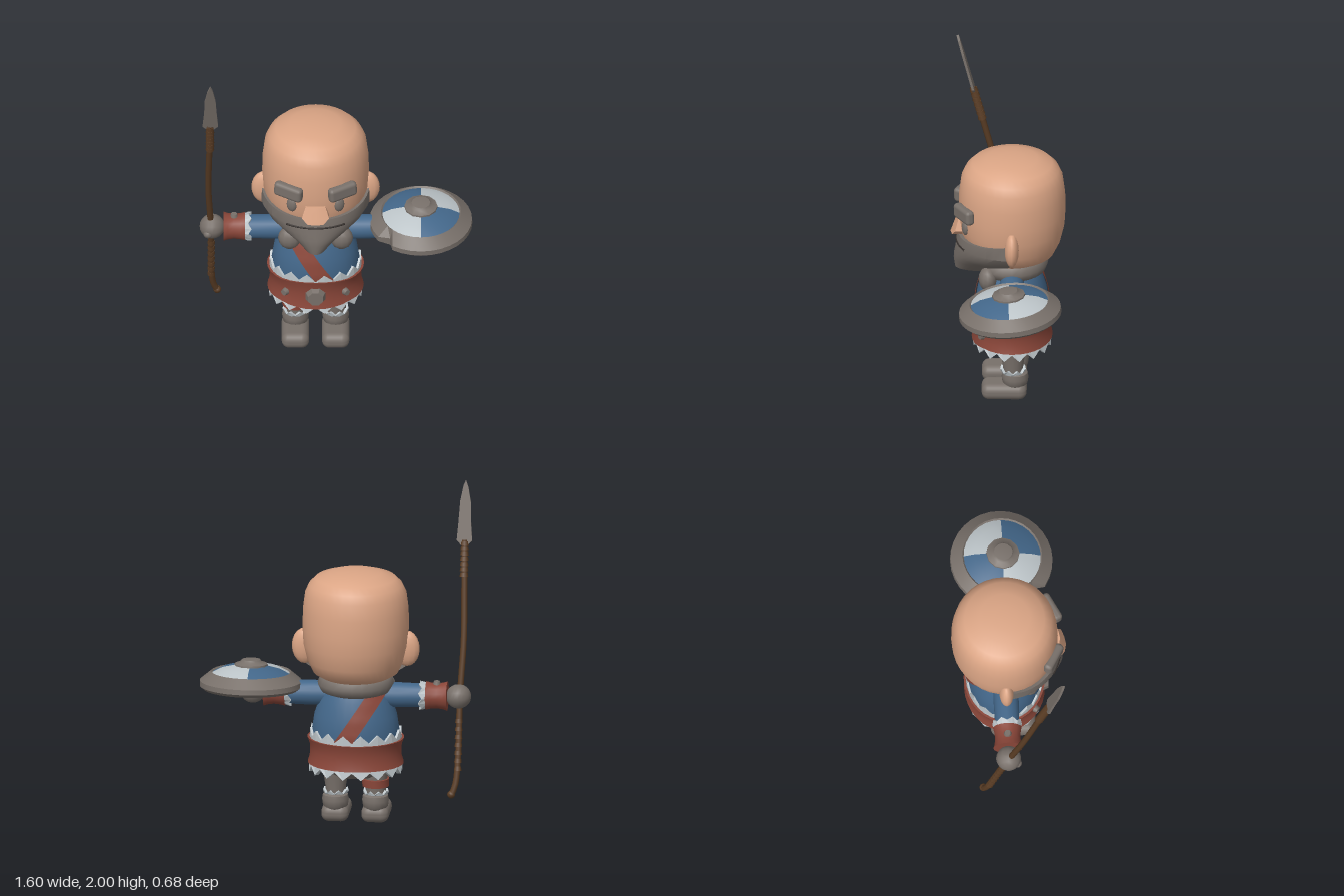
import * as THREE from 'three';
import { toCreasedNormals } from 'three/addons/utils/BufferGeometryUtils.js';
import { RoundedBoxGeometry } from 'three/addons/geometries/RoundedBoxGeometry.js';

const mat = (name, color, side = THREE.FrontSide) => {
  const m = new THREE.MeshStandardMaterial({ color, side });
  m.name = name;
  return m;
};
const DS = THREE.DoubleSide;
const V = (x, y, z) => new THREE.Vector3(x, y, z);

// Smooth surface of revolution from [radius, y] pairs, listed bottom to top
function lathe(points, segs = 24, start = 0, sweep = Math.PI * 2) {
  const g = new THREE.LatheGeometry(points.map(p => new THREE.Vector2(...p)), segs, start, sweep);
  return toCreasedNormals(g, 0.7);
}

// Surface through rows of [x, y, z] points
function grid(rows, crease = 0.7) {
  const n = rows[0].length, index = [];
  for (let i = 0; i < rows.length - 1; i++) for (let j = 0; j < n - 1; j++) {
    const a = i * n + j;
    index.push(a, a + 1, a + n + 1, a, a + n + 1, a + n);
  }
  const g = new THREE.BufferGeometry();
  g.setAttribute('position', new THREE.Float32BufferAttribute(rows.flat(2), 3));
  g.setIndex(index);
  return toCreasedNormals(g, crease);
}

// Fur trim: a ring whose far edge zigzags between y1 and y2
function zigzag(r0, y0, r1, y1, y2, teeth) {
  const rows = [[], [], []];
  for (let k = 0; k <= teeth * 2; k++) {
    const a = k * Math.PI / teeth, y = k % 2 ? y2 : y1;
    [[r0, y0], [r1, y], [r1 - 0.025, y]].forEach(([r, h], i) => rows[i].push([r * Math.sin(a), h, r * Math.cos(a)]));
  }
  return grid(rows, 0.1);
}

function edit(g, rule) {
  const p = g.attributes.position, v = V(0, 0, 0);
  for (let i = 0; i < p.count; i++) {
    rule(v.fromBufferAttribute(p, i));
    p.setXYZ(i, v.x, v.y, v.z);
  }
  g.computeVertexNormals();
  return g;
}

export function createModel() {
  const skin = mat('skin', 0xdba585), grey = mat('grey', 0x78706a, DS), blue = mat('blue', 0x43678a),
    white = mat('pale fur', 0xbcc4c8, DS), red = mat('red leather', 0x8a4639, DS),
    brown = mat('wood', 0x593c24), dark = mat('mouth', 0x38322f);
  const model = new THREE.Group();
  const group = (name, parent, x = 0, y = 0, z = 0) => {
    const g = new THREE.Group();
    g.name = name;
    g.position.set(x, y, z);
    parent.add(g);
    return g;
  };
  const add = (parent, name, geo, material, x = 0, y = 0, z = 0) => {
    const m = new THREE.Mesh(geo, material);
    m.name = name;
    m.position.set(x, y, z);
    parent.add(m);
    return m;
  };
  const CX = -0.125, CZ = -0.022;

  // Torso, oval in plan
  const body = group('body', model, CX, 0, CZ);
  body.scale.z = 0.84;
  const torso = [[0.24, 0.36], [0.252, 0.45], [0.257, 0.56], [0.243, 0.65], [0.21, 0.75], [0.175, 0.82], [0.13, 0.87], [0, 0.89]];
  add(body, 'tunic', lathe(torso, 32), blue);
  add(body, 'hips', lathe([[0, 0.265], [0.12, 0.275], [0.2, 0.32], [0.24, 0.38]]), grey);
  add(body, 'upperTrim', zigzag(0.272, 0.495, 0.27, 0.525, 0.57, 16), white);
  add(body, 'lowerTrim', zigzag(0.255, 0.38, 0.275, 0.345, 0.3, 16), white);
  const belt = new THREE.LatheGeometry([[0.245, 0.36], [0.283, 0.355], [0.272, 0.39], [0.268, 0.435], [0.272, 0.475], [0.285, 0.51], [0.245, 0.51]]
    .map(p => new THREE.Vector2(...p)), 32);
  edit(belt, v => { if (v.z > 0.2) v.y = 0.433 + (v.y - 0.433) * (1 + (v.z - 0.2) * 2.5); });
  add(body, 'belt', toCreasedNormals(belt, 0.6), red);

  // Shoulder strap laid over the tunic, front and back
  const radiusAt = y => {
    const i = Math.max(1, torso.findIndex(p => p[1] >= y)), [a, b] = [torso[i - 1], torso[i]];
    return a[0] + (b[0] - a[0]) * (y - a[1]) / (b[1] - a[1]);
  };
  for (const side of [1, -1]) {
    const rows = [];
    for (let y = 0.48; y < 0.865; y += 0.02) {
      const r = radiusAt(y) + 0.012, row = [];
      for (const off of [-0.056, -0.02, 0.02, 0.056]) {
        const x = Math.max(-r, Math.min(r, -(y - 0.605) * 0.68 + off));
        row.push([x, y, side * Math.sqrt(Math.max(0, r * r - x * x))]);
      }
      rows.push(row);
    }
    add(body, side > 0 ? 'strapFront' : 'strapBack', grid(rows), red);
  }

  // Buckle and studs
  const disc = (r, d, n) => new THREE.CylinderGeometry(r * 0.75, r, d, n).rotateX(Math.PI / 2);
  add(model, 'buckle', toCreasedNormals(disc(0.062, 0.035, 8).rotateZ(Math.PI / 8), 0.3), grey, CX, 0.425, 0.218);
  for (const s of [1, -1]) add(model, 'beltStud', disc(0.024, 0.025, 10), grey, CX + s * 0.18, 0.425, 0.158).rotation.y = s * 0.65;

  // Fur collar
  const collar = add(model, 'collar', new THREE.TorusGeometry(0.165, 0.06, 8, 24).rotateX(Math.PI / 2), grey, CX, 0.84, CZ);
  collar.scale.set(1, 1, 0.95);
  for (const s of [1, -1]) {
    add(model, 'collarEnd', new THREE.SphereGeometry(0.068, 12, 8), grey, CX + s * 0.152, 0.79, 0.12).scale.set(1, 1.1, 0.8);
  }

  // Head
  const head = group('head', model, CX, 0, CZ);
  add(head, 'skull', lathe([[0, 0.87], [0.19, 0.875], [0.25, 0.91], [0.283, 0.98], [0.307, 1.08], [0.313, 1.18], [0.311, 1.29],
    [0.298, 1.39], [0.275, 1.44], [0.235, 1.48], [0.15, 1.508], [0.07, 1.518], [0, 1.52]], 36), skin);
  const nose = edit(new THREE.BoxGeometry(0.175, 0.1, 0.1, 2, 3, 2), v => {
    const t = v.y / 0.1 + 0.5;
    v.x *= t < 0.1 ? 0.55 : 1.03 - 0.36 * t;
    if (v.z > 0) v.z -= 0.035 * t + Math.abs(v.x) * 0.2;
  });
  add(head, 'nose', toCreasedNormals(nose, 0.8), skin, 0, 1.08, 0.312);
  for (const s of [1, -1]) {
    add(head, 'ear', new THREE.SphereGeometry(0.1, 14, 10), skin, s * 0.302, 1.055, 0).scale.set(0.75, 1.08, 0.42);
    const eye = add(head, 'eye', new THREE.SphereGeometry(0.032, 12, 8), grey, s * 0.14, 1.12, 0.274);
    eye.scale.set(1, 1.45, 0.55);
    eye.rotation.y = s * 0.45;
    const brow = add(head, 'eyebrow', new RoundedBoxGeometry(0.18, 0.09, 0.055, 2, 0.022), grey, s * 0.158, 1.22, 0.282);
    brow.rotation.set(0, s * 0.5, s * 0.06);
  }

  // Beard rows: y, half width, front z, centre z
  const beard = [[1.03, 0.285, 0.28, 0], [1.035, 0.318, 0.318, 0], [0.99, 0.32, 0.327, 0], [0.94, 0.29, 0.332, 0],
    [0.9, 0.235, 0.34, 0.02], [0.86, 0.16, 0.343, 0.08], [0.8, 0.075, 0.335, 0.18], [0.79, 0, 0.26, 0.26]];
  add(head, 'beard', grid(beard.map(([y, w, zf, zc]) => {
    const row = [];
    for (let j = -10; j <= 10; j++) {
      const a = j * 0.155;
      row.push([w * Math.sin(a), y + (y > 1 ? 0.018 * Math.abs(a) * Math.abs(a) : 0), zc + (zf - zc) * Math.cos(a)]);
    }
    return row;
  }).reverse(), 0.5), grey);
  const arc = 1.1;
  add(head, 'mouth', new THREE.TorusGeometry(0.327, 0.006, 6, 16, arc).rotateZ(Math.PI / 2 - arc / 2).rotateX(Math.PI / 2), dark, 0, 0.985, 0);

  // Arms, built upward and laid out sideways
  for (const s of [1, -1]) {
    const arm = group(s > 0 ? 'leftArm' : 'rightArm', model, CX, 0.77, -0.022);
    arm.rotation.z = -s * Math.PI / 2;
    add(arm, 'sleeve', lathe([[0.07, 0.06], [0.074, 0.25], [0.07, 0.41]], 16), blue);
    add(arm, 'cuffTrim', zigzag(0.074, 0.425, 0.087, 0.395, 0.375, 8), white);
    add(arm, 'bracer', lathe([[0, 0.41], [0.084, 0.415], [0.078, 0.44], [0.074, 0.48], [0.079, 0.515], [0.087, 0.54], [0, 0.54]], 16), red);
    add(arm, 'bracerStud', new THREE.CylinderGeometry(0.018, 0.024, 0.02, 10).rotateZ(s * Math.PI / 2), grey, -s * 0.08, 0.478, 0);
    add(arm, 'fist', new THREE.SphereGeometry(0.074, 12, 10), grey, 0, 0.606, 0);
    add(arm, 'thumb', new THREE.SphereGeometry(0.028, 8, 6), grey, s * 0.02, 0.63, 0.05);
  }

  // Legs and boots
  for (const s of [1, -1]) {
    const leg = group(s > 0 ? 'leftLeg' : 'rightLeg', model, CX + s * 0.118, 0, -0.028);
    add(leg, 'trouser', lathe([[0.058, 0.14], [0.06, 0.2], [0.07, 0.27], [0.075, 0.34]], 16), grey);
    add(leg, 'bootTrim', zigzag(0.066, 0.16, 0.076, 0.172, 0.192, 8), white);
    add(leg, 'bootCuff', lathe([[0.06, 0.075], [0.074, 0.095], [0.079, 0.13], [0.074, 0.16], [0.055, 0.17]], 16), grey, 0, 0, -0.012);
    add(leg, 'foot', new RoundedBoxGeometry(0.162, 0.1, 0.265, 3, 0.045), grey, 0, 0.05, 0.052);
    if (s < 0) add(leg, 'legBand', lathe([[0.06, 0.212], [0.079, 0.214], [0.08, 0.26], [0.06, 0.262]], 16), red);
  }

  // Spear leaning forward through the right fist
  const spear = group('spear', model);
  const lean = 0.258, zAt = y => -0.022 + 0.264 * (y - 0.77);
  const path = [[-0.702, 0.205], [-0.725, 0.27], [-0.737, 0.42], [-0.739, 0.77], [-0.753, 1.1], [-0.748, 1.4], [-0.742, 1.66]];
  const curve = new THREE.CatmullRomCurve3(path.map(([x, y]) => V(x, y, zAt(y))));
  add(spear, 'shaft', new THREE.TubeGeometry(curve, 40, 0.018, 8), brown);
  add(spear, 'shaftEnd', new THREE.SphereGeometry(0.024, 8, 6), brown, -0.702, 0.212, zAt(0.212));
  const ring = (x, y, r) => { add(spear, 'wrapping', new THREE.CylinderGeometry(r * 0.85, r, 0.024, 8), brown, x, y, zAt(y)).rotation.x = lean; };
  for (let i = 0; i < 7; i++) {
    ring(-0.744, 1.46 + i * 0.03, 0.026);
    ring(-0.737, 0.36 + i * 0.045, 0.023);
  }
  const bladeShape = new THREE.Shape([[-0.016, 0], [0.016, 0], [0.046, 0.03], [0.038, 0.14], [0.031, 0.26], [0.014, 0.35], [0, 0.385],
    [-0.016, 0.34], [-0.033, 0.25], [-0.036, 0.14], [-0.045, 0.03]].map(p => new THREE.Vector2(...p)));
  const blade = new THREE.ExtrudeGeometry(bladeShape, { depth: 0.014, bevelEnabled: false }).translate(0, 0, -0.007);
  add(spear, 'blade', blade, grey, -0.742, 1.628, zAt(1.628)).rotation.x = lean;

  // Round shield carried flat over the left fist
  const shield = group('shield', model, 0.493, 0.812, -0.015);
  shield.rotation.x = 0.08;
  const rim = new THREE.LatheGeometry([[0, 0.06], [0.2, 0.03], [0.282, -0.03], [0.302, -0.012], [0.3, 0.018], [0.235, 0.072], [0.22, 0.055]]
    .map(p => new THREE.Vector2(...p)), 32);
  edit(rim, v => { // chipped edge
    const a = Math.atan2(v.x, v.z), r = Math.hypot(v.x, v.z);
    if (r > 0.27 && Math.abs(a + 0.82) < 0.08) { v.x *= 0.255 / r; v.z *= 0.255 / r; }
  });
  add(shield, 'rim', toCreasedNormals(rim, 0.4), grey);
  for (let q = 0; q < 4; q++) {
    add(shield, 'quarter', lathe([[0.232, 0.06], [0.17, 0.092], [0.08, 0.112]], 8, q * Math.PI / 2, Math.PI / 2), q % 2 ? white : blue);
  }
  add(shield, 'boss', lathe([[0.1, 0.095], [0.097, 0.118], [0.065, 0.13], [0.055, 0.143], [0, 0.15]], 12), grey);
  return model;
}
